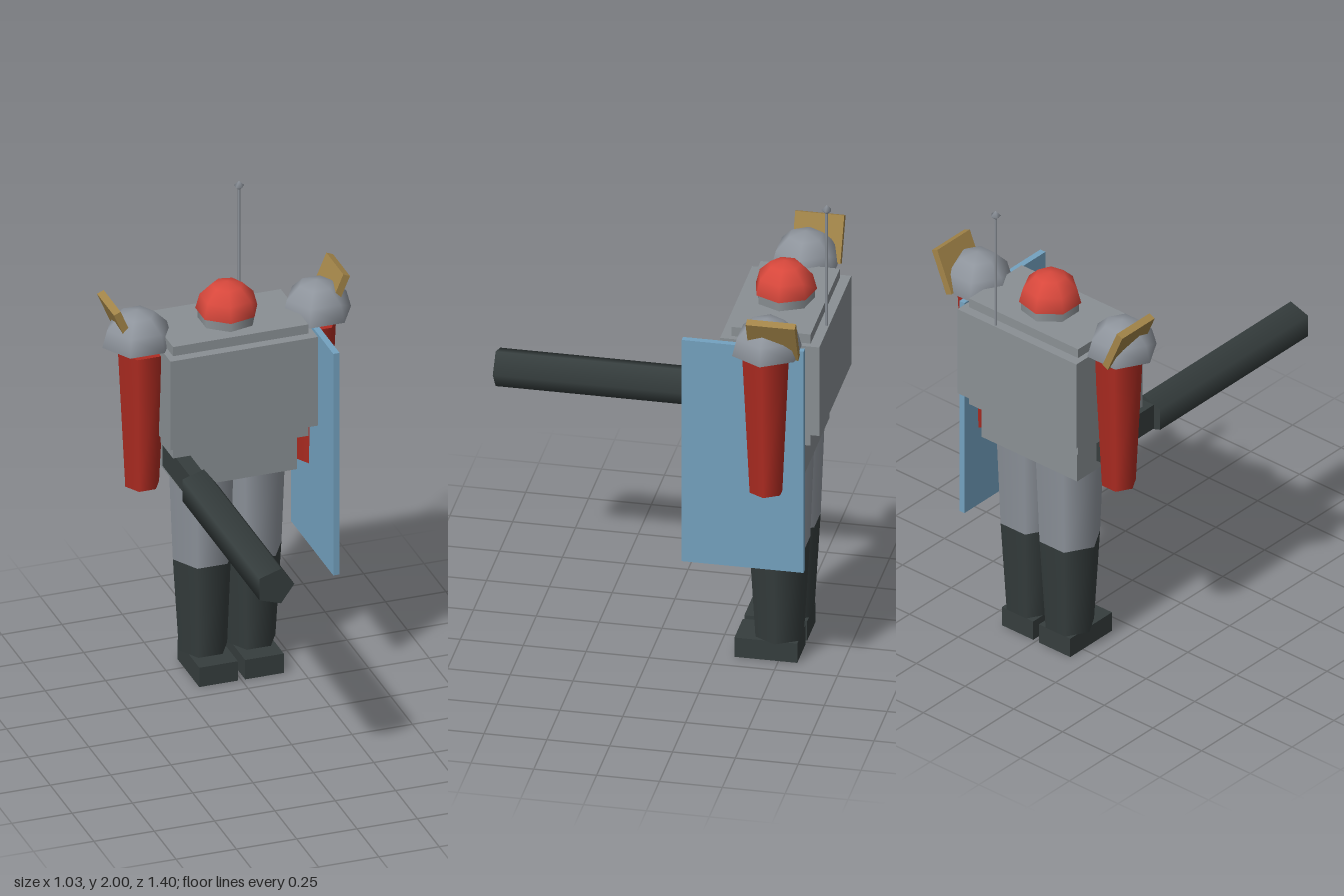
import * as THREE from 'three';
import { mergeGeometries } from 'three/addons/utils/BufferGeometryUtils.js';

const Z = -0.49; // depth of the body's centre line

function mat(name, color) {
  const m = new THREE.MeshStandardMaterial({ color });
  m.name = name;
  return m;
}

// Column with a corner pointing to +x
function column(rTop, rBottom, h, sides) {
  return new THREE.CylinderGeometry(rTop, rBottom, h, sides, 1, false, Math.PI / 2);
}

// Closed half sphere, flat side down, corner pointing to +x
function dome(r, sides) {
  const shell = new THREE.SphereGeometry(r, sides, 3, Math.PI, Math.PI * 2, 0, Math.PI / 2);
  const base = new THREE.CircleGeometry(r, sides).rotateX(Math.PI / 2);
  return mergeGeometries([shell, base]);
}

export function createModel() {
  const model = new THREE.Group();
  model.name = 'armouredGuard';

  const plate = mat('plateGrey', 0x8a9094);
  const steel = mat('steelGrey', 0x8f959d);
  const dark = mat('darkGrey', 0x363e3e);
  const helmetRed = mat('helmetRed', 0xd8483c);
  const sleeveRed = mat('sleeveRed', 0xb02c22);
  const gold = mat('gold', 0xa38549);
  const blue = mat('shieldBlue', 0x74a2c0);

  function add(name, geometry, material, x, y, z) {
    const mesh = new THREE.Mesh(geometry, material);
    mesh.name = name;
    mesh.position.set(x, y, z);
    model.add(mesh);
    return mesh;
  }
  // Box given by its lower and upper limits
  function box(name, material, x0, x1, y0, y1, z0, z1) {
    return add(name, new THREE.BoxGeometry(x1 - x0, y1 - y0, z1 - z0), material,
      (x0 + x1) / 2, (y0 + y1) / 2, (z0 + z1) / 2);
  }

  // Torso
  box('chestPlate', plate, -0.305, 0.305, 1.08, 1.47, -0.69, -0.295);
  box('innerTorso', plate, -0.28, 0.28, 1.02, 1.51, -0.65, -0.335);
  box('pelvis', plate, -0.245, 0.245, 0.865, 1.02, -0.615, -0.365);

  // Head
  add('neck', column(0.116, 0.116, 0.04, 7), plate, 0, 1.53, Z);
  add('helmet', dome(0.125, 7), helmetRed, 0, 1.55, Z);

  // Limbs and shoulders, mirrored
  for (const s of [-1, 1]) {
    const side = s > 0 ? 'left' : 'right';
    add(side + 'Thigh', column(0.14, 0.125, 0.375, 6), steel, s * 0.1, 0.6775, Z);
    add(side + 'Boot', column(0.125, 0.1, 0.405, 6), dark, s * 0.1, 0.2875, Z);
    box(side + 'Foot', dark, s * 0.095 - 0.08, s * 0.095 + 0.08, 0, 0.085, -0.575, -0.325);
    add(side + 'Arm', column(0.1, 0.07, 0.595, 6), sleeveRed, s * 0.352, 1.1425, Z);
    add(side + 'Shoulder', dome(0.143, 6), steel, s * 0.372, 1.47, -0.495);
    const fin = add(side + 'ShoulderFin', new THREE.BoxGeometry(0.03, 0.19, 0.195), gold,
      s * 0.438, 1.555, -0.532);
    fin.rotation.z = -s * 0.4;
  }

  // Shield on the left arm
  box('shield', blue, 0.317, 0.343, 0.49, 1.465, -0.635, -0.15);

  // Gun in the right hand
  box('gunGrip', dark, -0.265, -0.205, 0.905, 1.015, -0.5, -0.18);
  add('gunBarrel', column(0.08, 0.08, 0.885, 5).rotateX(Math.PI / 2), dark, -0.233, 0.96, 0.2625);

  // Antenna on the back
  add('antennaPole', column(0.006, 0.006, 0.51, 5), steel, 0.118, 1.725, -0.68);
  add('antennaTip', new THREE.SphereGeometry(0.021, 5, 2, Math.PI), steel, 0.118, 1.979, -0.68);

  return model;
}
